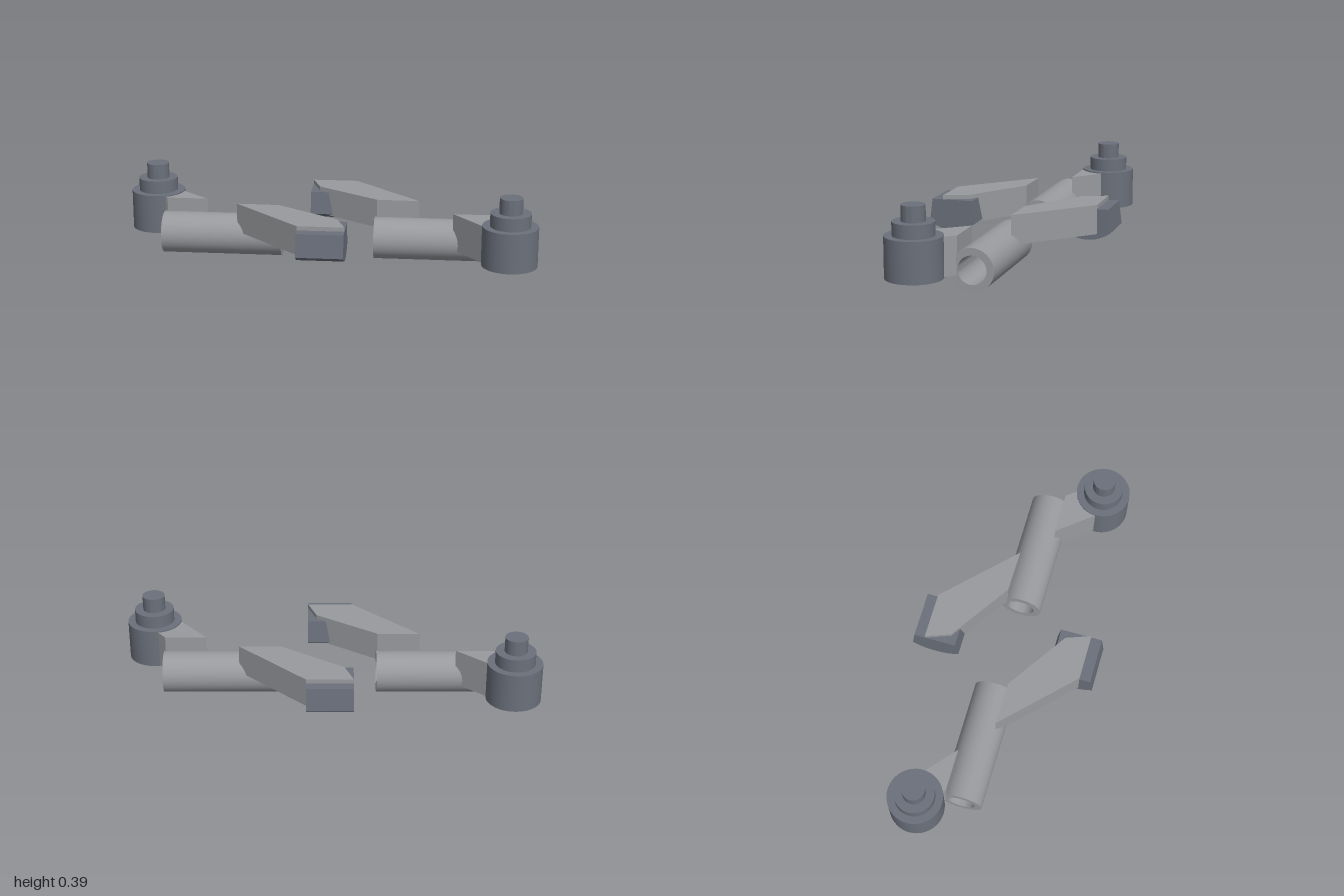
import * as THREE from 'three';
import { toCreasedNormals } from 'three/addons/utils/BufferGeometryUtils.js';

const lightSteel = new THREE.MeshStandardMaterial({ name: 'light steel', color: 0x989a9e });
const darkSteel = new THREE.MeshStandardMaterial({ name: 'dark steel', color: 0x6b707b });

const toVectors = (points) => points.map(([a, b]) => new THREE.Vector2(a, b));

function part(name, geometry, material) {
  const mesh = new THREE.Mesh(geometry, material);
  mesh.name = name;
  return mesh;
}

// Turned part around y, with sharp rims and smooth walls
function turned(profile) {
  return toCreasedNormals(new THREE.LatheGeometry(toVectors(profile), 48), 0.6);
}

// Upright plate from an outline in x and z
function plate(outline, bottom, top) {
  const geometry = new THREE.ExtrudeGeometry(new THREE.Shape(toVectors(outline)), {
    depth: top - bottom, bevelEnabled: false,
  });
  geometry.rotateX(Math.PI / 2);
  geometry.translate(0, top, 0);
  return geometry;
}

// Foot pad: tapered block with a rounded underside, its outline in z and y
function padGeometry() {
  const midZ = 0.335, radius = 0.185, half = 0.115;
  const outline = [];
  for (let i = 0; i <= 16; i++) {
    const d = -half + (2 * half * i) / 16;
    outline.push([midZ + d, 0.1 + radius - Math.sqrt(radius * radius - d * d)]);
  }
  outline.push([0.436, 0.25], [0.234, 0.25]);
  const geometry = new THREE.ExtrudeGeometry(new THREE.Shape(toVectors(outline)), {
    depth: 0.22, bevelEnabled: false,
  });
  geometry.translate(0, 0, -0.11);
  geometry.rotateY(-Math.PI / 2);
  return toCreasedNormals(geometry, 0.4);
}

function makePeg(name, pivot, bracketOutline) {
  const peg = new THREE.Group();
  peg.name = name;

  // Hollow sleeve lying along x
  const sleeve = turned([[0.1, -0.29], [0.1, 0.29], [0.066, 0.29], [0.066, -0.29], [0.1, -0.29]]);
  sleeve.rotateZ(Math.PI / 2);
  sleeve.translate(-0.513, 0.1, 0);
  peg.add(part('sleeve', sleeve, lightSteel));

  // Slanted arm carrying the foot pad
  const arm = [[-0.435, 0.062], [-0.23, 0.066], [0.067, 0.265], [0.11, 0.383], [-0.11, 0.383]];
  peg.add(part('footArm', plate(arm, 0.13, 0.27), lightSteel));
  peg.add(part('footPad', padGeometry(), darkSteel));

  // Bracket joining the sleeve to the pivot
  peg.add(part('pivotBracket', plate(bracketOutline, 0.071, 0.25), lightSteel));

  // Stepped pivot, bored from below
  const boss = turned([
    [0, 0.24], [0.072, 0.24], [0.072, 0.066], [0.131, 0.066], [0.131, 0.256], [0.095, 0.256],
    [0.095, 0.319], [0.054, 0.319], [0.054, 0.392], [0, 0.392],
  ]);
  boss.translate(pivot[0], 0, pivot[1]);
  peg.add(part('pivotBoss', boss, darkSteel));
  return peg;
}

export function createModel() {
  const model = new THREE.Group();
  model.name = 'footPegs';

  const rightPeg = makePeg('rightPeg', [-0.869, -0.198],
    [[-0.6, -0.07], [-0.8, -0.07], [-0.92, -0.17], [-0.79, -0.235]]);

  // The second peg is turned half way round, with its pivot set further out
  const leftPeg = makePeg('leftPeg', [-0.866, -0.243],
    [[-0.6, -0.068], [-0.8, -0.068], [-0.91, -0.205], [-0.775, -0.285]]);
  leftPeg.rotation.y = Math.PI;

  model.add(rightPeg, leftPeg);
  return model;
}
